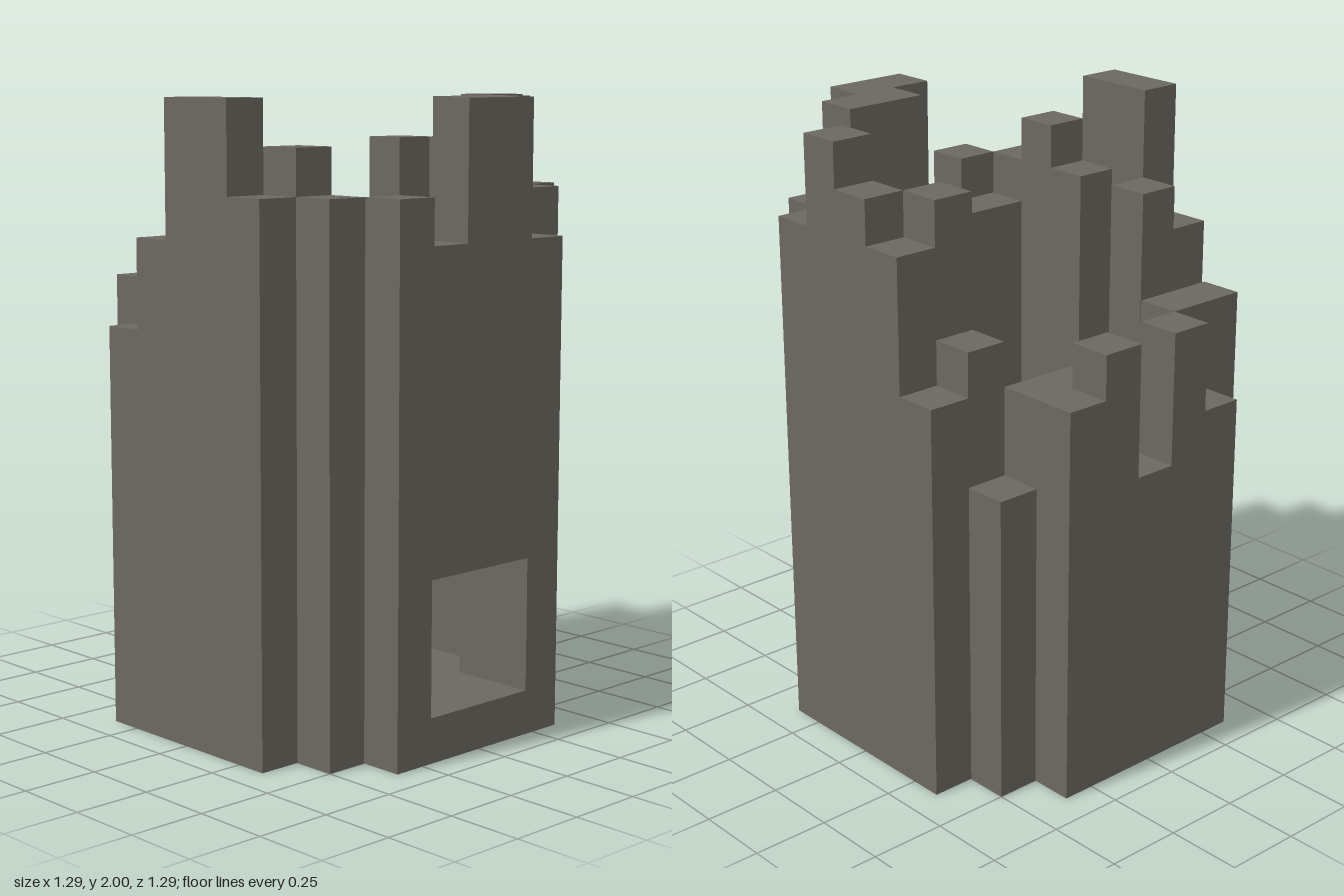
import * as THREE from 'three';
import { mergeGeometries } from 'three/addons/utils/BufferGeometryUtils.js';

const U = 1 / 7; // edge of one block

// Column heights in blocks: rows run from back to front, entries from -x to +x
const HEIGHTS = [
  [0, 0, 8, 10, 7, 10, 9, 0, 0],
  [0, 10, 10, 9, 1, 9, 9, 7, 0],
  [9, 9, 1, 2, 1, 2, 2, 10, 9],
  [11, 12, 1, 1, 1, 2, 2, 13, 12],
  [14, 1, 1, 1, 1, 1, 1, 1, 13],
  [14, 12, 1, 1, 1, 1, 1, 12, 14],
  [12, 13, 1, 1, 1, 1, 1, 12, 12],
  [0, 12, 11, 11, 1, 14, 14, 12, 0],
  [0, 0, 12, 11, 14, 14, 11, 0, 0],
];

const heightAt = (x, z) => HEIGHTS[z + 4]?.[x + 4] ?? 0;

// Square opening through the lower front wall
const inOpening = (x, y, z) => Math.abs(x) <= 1 && z >= 3 && y >= 1 && y < 4;

const solid = (x, y, z) => y >= 0 && y < heightAt(x, z) && !inOpening(x, y, z);

// Which part a block belongs to
function partOf(x, y, z) {
  if (y === 0) return 'floor';
  return heightAt(x, z) === 2 ? 'rubble' : 'walls';
}

// The six sides of a block: direction and the turn that points a plane that way
const H = Math.PI / 2;
const SIDES = [
  { d: [0, 0, 1], rx: 0, ry: 0 },
  { d: [0, 0, -1], rx: 0, ry: 2 * H },
  { d: [1, 0, 0], rx: 0, ry: H },
  { d: [-1, 0, 0], rx: 0, ry: -H },
  { d: [0, 1, 0], rx: -H, ry: 0 },
  { d: [0, -1, 0], rx: H, ry: 0 },
];

export function createModel() {
  const stone = new THREE.MeshStandardMaterial({ color: 0x6b6860 });
  stone.name = 'stone';

  // Collect only the exposed block faces of each part
  const faces = { floor: [], walls: [], rubble: [] };
  for (let x = -4; x <= 4; x++) {
    for (let z = -4; z <= 4; z++) {
      for (let y = 0; y < heightAt(x, z); y++) {
        if (!solid(x, y, z)) continue;
        for (const { d, rx, ry } of SIDES) {
          if (solid(x + d[0], y + d[1], z + d[2])) continue;
          const face = new THREE.PlaneGeometry(U, U).rotateX(rx).rotateY(ry);
          face.translate((x + d[0] / 2) * U, (y + 0.5 + d[1] / 2) * U, (z + d[2] / 2) * U);
          faces[partOf(x, y, z)].push(face);
        }
      }
    }
  }

  const group = new THREE.Group();
  group.name = 'ruinedTower';
  for (const [name, list] of Object.entries(faces)) {
    const mesh = new THREE.Mesh(mergeGeometries(list), stone);
    mesh.name = name;
    group.add(mesh);
  }
  return group;
}
